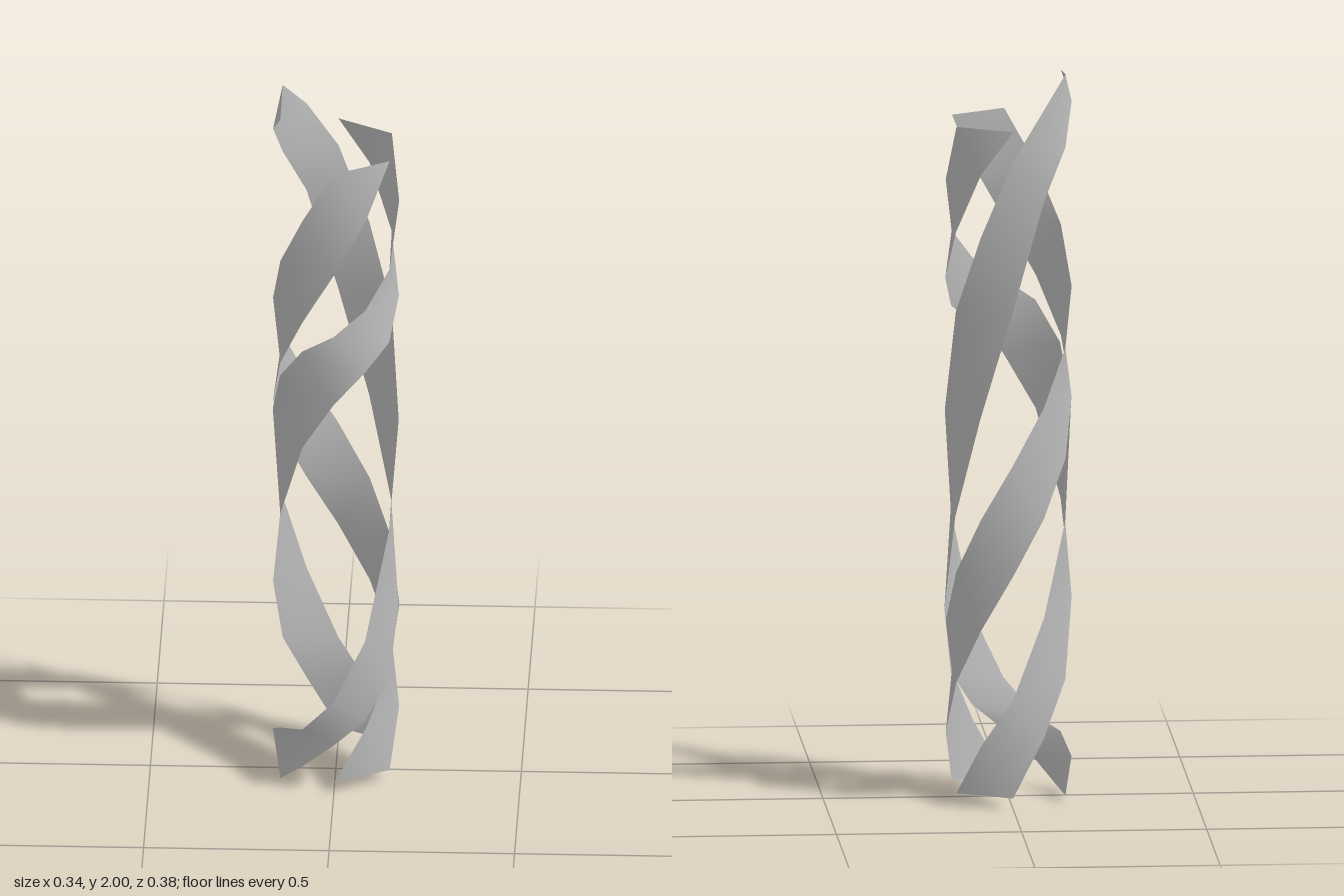
import * as THREE from 'three';

const RADIUS = 0.17, STEP = Math.PI / 6, HALF = Math.PI / 6;

// Each ribbon makes one full turn in 12 steps; every rung spans 60 degrees.
// left/right: heights of the two edges, bulge: forward offset of each rung.
const evenDrop = Array.from({ length: 13 }, (_, i) => 1.86 - 0.1525 * i);
const ribbons = [
  {
    name: 'evenRibbon', start: 30, left: evenDrop, right: evenDrop,
    bulge: new Array(13).fill(0),
  },
  {
    name: 'middleWrapRibbon', start: 150,
    left: [1.86, 1.70, 1.54, 1.45, 1.385, 1.33, 1.225, 1.08, 0.77, 0.52, 0.30, 0.17, 0.03],
    right: [1.86, 1.74, 1.57, 1.425, 1.33, 1.27, 1.18, 1.035, 0.80, 0.55, 0.34, 0.19, 0.03],
    bulge: [0, 0, 0.01, 0.02, 0.03, 0.032, 0.03, 0.02, 0.01, 0, 0, 0, 0],
  },
  {
    name: 'steepRibbon', start: 270,
    left: [2.0, 1.915, 1.78, 1.565, 1.35, 1.06, 0.77, 0.47, 0.29, 0.19, 0.16, 0.11, 0.02],
    right: [1.98, 1.91, 1.80, 1.66, 1.36, 1.06, 0.78, 0.51, 0.32, 0.22, 0.15, 0.07, 0],
    bulge: [0, 0, 0, 0.01, 0.02, 0.035, 0.045, 0.05, 0.038, 0.025, 0.015, 0.005, 0],
  },
];

// Strip of quads between the left and right edge of a winding ribbon
function ribbonGeometry({ start, left, right, bulge }) {
  const positions = [], index = [];
  const addPoint = (angle, y, dz) =>
    positions.push(RADIUS * Math.sin(angle), y, RADIUS * Math.cos(angle) - 0.02 + dz);
  for (let i = 0; i < left.length; i++) {
    const centre = THREE.MathUtils.degToRad(start) - STEP * i;
    addPoint(centre - HALF, left[i], bulge[i]);
    addPoint(centre + HALF, right[i], bulge[i]);
    if (i > 0) {
      const a = 2 * i - 2; // a, a+1: previous left, right; a+2, a+3: current
      index.push(a, a + 2, a + 3, a, a + 3, a + 1);
    }
  }
  const geometry = new THREE.BufferGeometry();
  geometry.setAttribute('position', new THREE.Float32BufferAttribute(positions, 3));
  geometry.setIndex(index);
  geometry.computeVertexNormals();
  return geometry;
}

export function createModel() {
  const grey = new THREE.MeshStandardMaterial({ color: 0xbcbcbc, side: THREE.DoubleSide });
  grey.name = 'ribbon grey';
  const model = new THREE.Group();
  model.name = 'ribbonHelix';
  for (const ribbon of ribbons) {
    const mesh = new THREE.Mesh(ribbonGeometry(ribbon), grey);
    mesh.name = ribbon.name;
    model.add(mesh);
  }
  return model;
}
